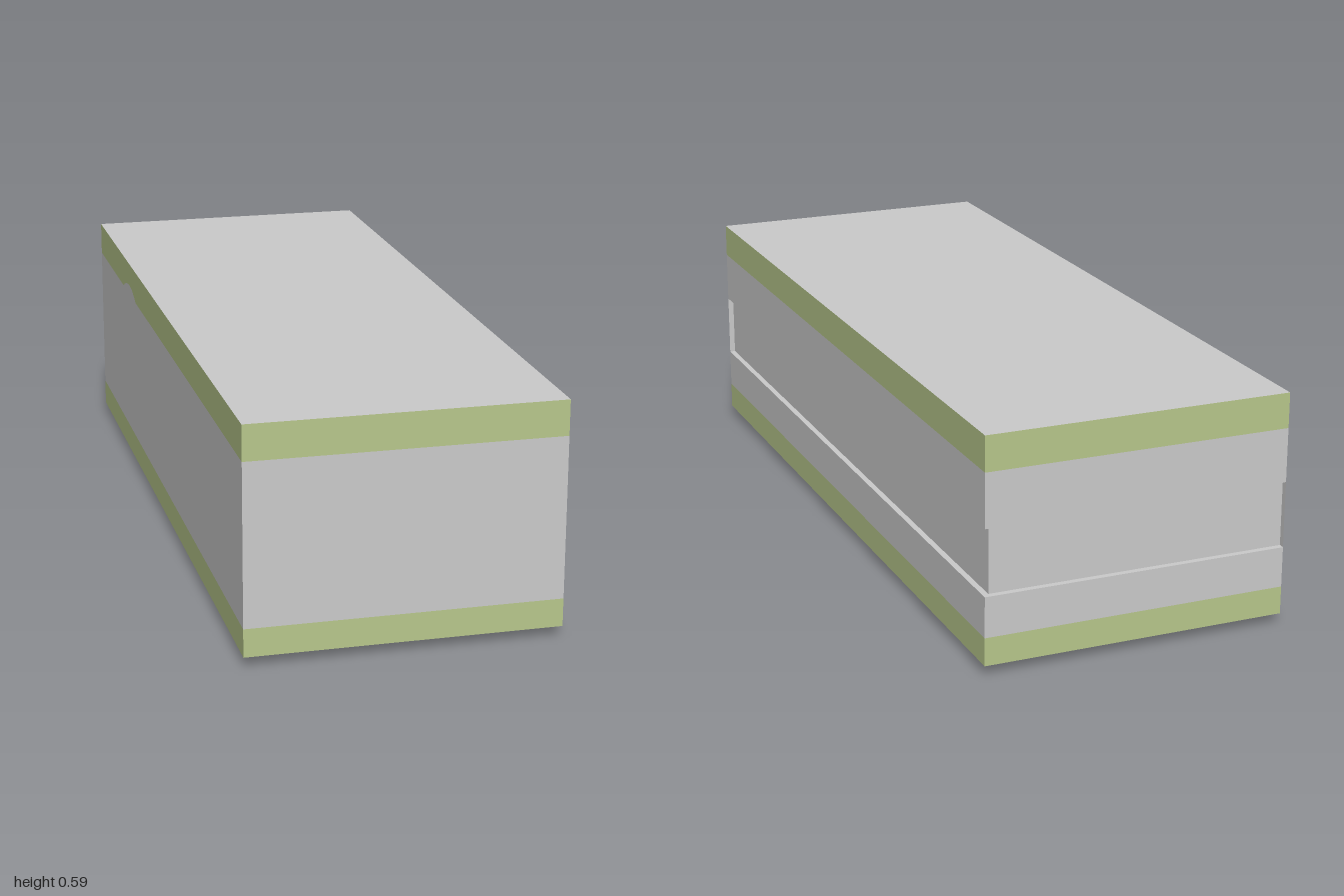
import * as THREE from 'three';

const grey = new THREE.MeshStandardMaterial({ color: 0xcccccc, flatShading: true });
const greyThin = new THREE.MeshStandardMaterial({ color: 0xcccccc, side: THREE.DoubleSide });
const green = new THREE.MeshStandardMaterial({ color: 0xb8c88c, flatShading: true });
const X = 0.39, Z = 1, INSET = 0.015;

export function createModel() {
  const model = new THREE.Group();
  const add = (name, geometry, material, x = 0, y = 0, z = 0) => {
    const mesh = new THREE.Mesh(geometry, material);
    mesh.name = name;
    mesh.position.set(x, y, z);
    model.add(mesh);
    return mesh;
  };
  // One horizontal layer; inset pulls in the +x side and the back
  const layer = (name, y0, y1, material, inset = 0) => add(name,
    new THREE.BoxGeometry(2 * X - inset, y1 - y0, 2 * Z - inset), material,
    -inset / 2, (y0 + y1) / 2, inset / 2);

  // Coloured bands keep a grey top and underside
  const band = [green, green, grey, grey, green, green];
  layer('lowerBand', 0.026, 0.097, band);
  layer('lowerWall', 0.097, 0.2, grey);
  layer('groove', 0.2, 0.368, grey, INSET);
  layer('upperWall', 0.368, 0.505, grey);
  layer('upperBand', 0.505, 0.594, band);

  // Flat skins closing the groove at the front and at the -x side
  const gh = 0.168, gy = 0.284;
  add('frontGrooveEnd', new THREE.PlaneGeometry(INSET, gh), greyThin, X - INSET / 2, gy, Z);
  add('sideGrooveEnd', new THREE.PlaneGeometry(INSET, gh), greyThin, -X, gy, -Z + INSET / 2)
    .rotation.y = -Math.PI / 2;

  // Nearly flush round panel on the -x side
  add('sidePanel', new THREE.CircleGeometry(0.212, 32), grey, -X - 0.0008, 0.32, -0.495)
    .rotation.y = -Math.PI / 2;

  // Small disc under the base
  add('baseDisc', new THREE.CylinderGeometry(0.057, 0.057, 0.004, 8), green, 0, 0.025, -0.505);

  // Three chamfered lugs on an arc around the disc
  const profile = new THREE.Shape([[0.302, 0.03], [0.302, 0.002], [0.308, 0], [0.338, 0],
    [0.356, 0.009], [0.372, 0.03]].map(([r, y]) => new THREE.Vector2(r, y)));
  const lug = new THREE.ExtrudeGeometry(profile, { depth: 0.06, bevelEnabled: false });
  lug.translate(0, 0, -0.03);
  [17, 36, 54].forEach((deg, i) => {
    add('baseLug' + (i + 1), lug, grey, 0, 0, -0.505)
      .rotation.y = THREE.MathUtils.degToRad(deg + 90);
  });
  return model;
}
